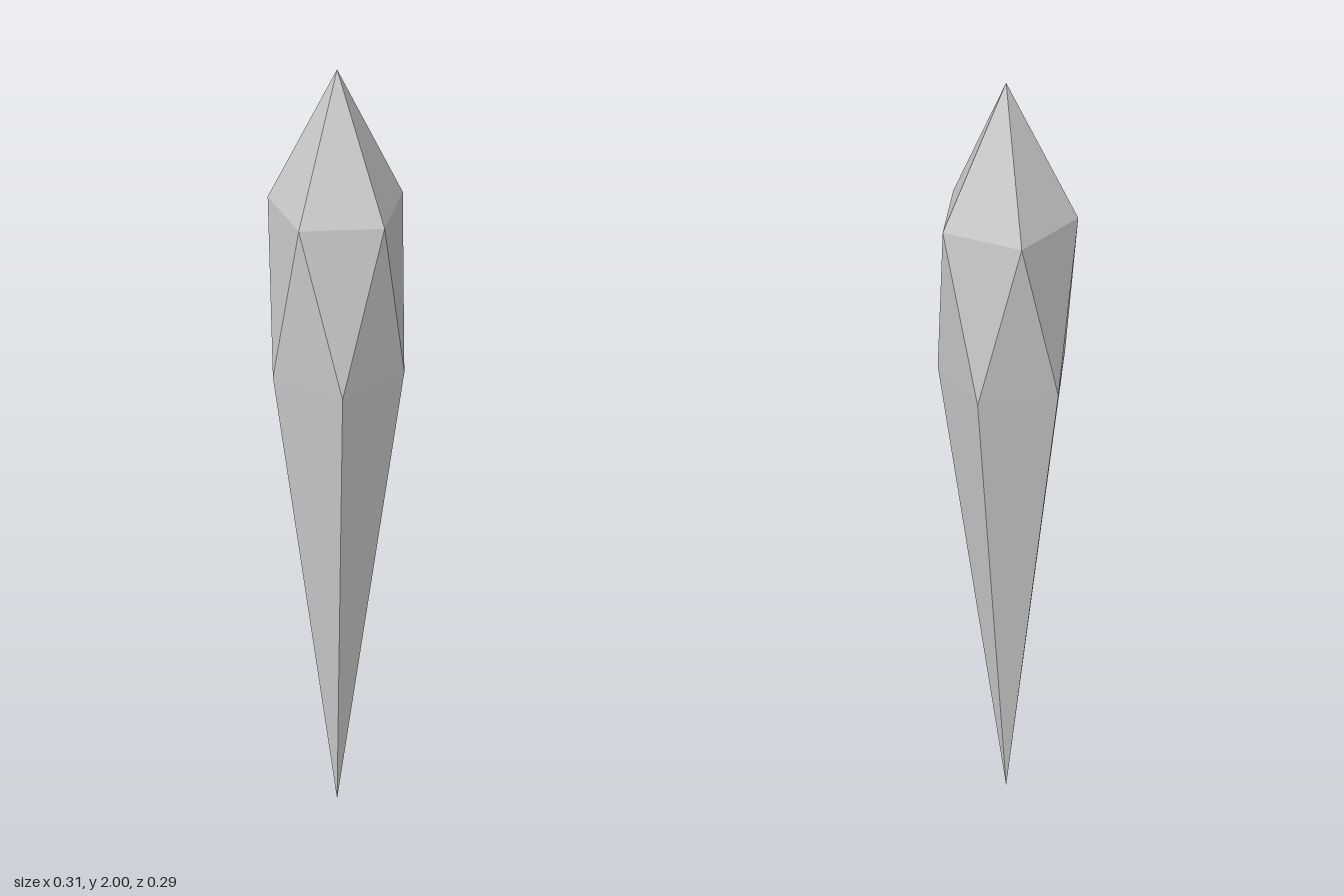
import * as THREE from 'three';

const SIDES = 5;
const RADIUS = 0.155;

// Pentagonal ring of points at a height, turned by a fraction of one side
function ring(y, turn) {
  return Array.from({ length: SIDES }, (_, k) => {
    const a = ((k + turn) / SIDES) * Math.PI * 2;
    return new THREE.Vector3(RADIUS * Math.cos(a), y, RADIUS * Math.sin(a));
  });
}

export function createModel() {
  const group = new THREE.Group();
  group.name = 'crystalShard';

  // Two staggered rings between a blunt top point and a long lower point
  const top = new THREE.Vector3(0, 2, 0);
  const bottom = new THREE.Vector3(0, 0, 0);
  const upper = ring(1.69, 0);
  const lower = ring(1.29, 0.5);

  const points = [];
  for (let k = 0; k < SIDES; k++) {
    const n = (k + 1) % SIDES;
    points.push(
      top, upper[n], upper[k], // crown facet
      upper[k], upper[n], lower[k], // girdle facet pointing down
      upper[n], lower[n], lower[k], // girdle facet pointing up
      lower[k], lower[n], bottom // long spike facet
    );
  }

  // Unshared corners keep every facet flat
  const geometry = new THREE.BufferGeometry().setFromPoints(points);
  geometry.computeVertexNormals();

  const material = new THREE.MeshStandardMaterial({ color: 0xcccccc, flatShading: true });
  const crystal = new THREE.Mesh(geometry, material);
  crystal.name = 'crystal';
  group.add(crystal);
  return group;
}
